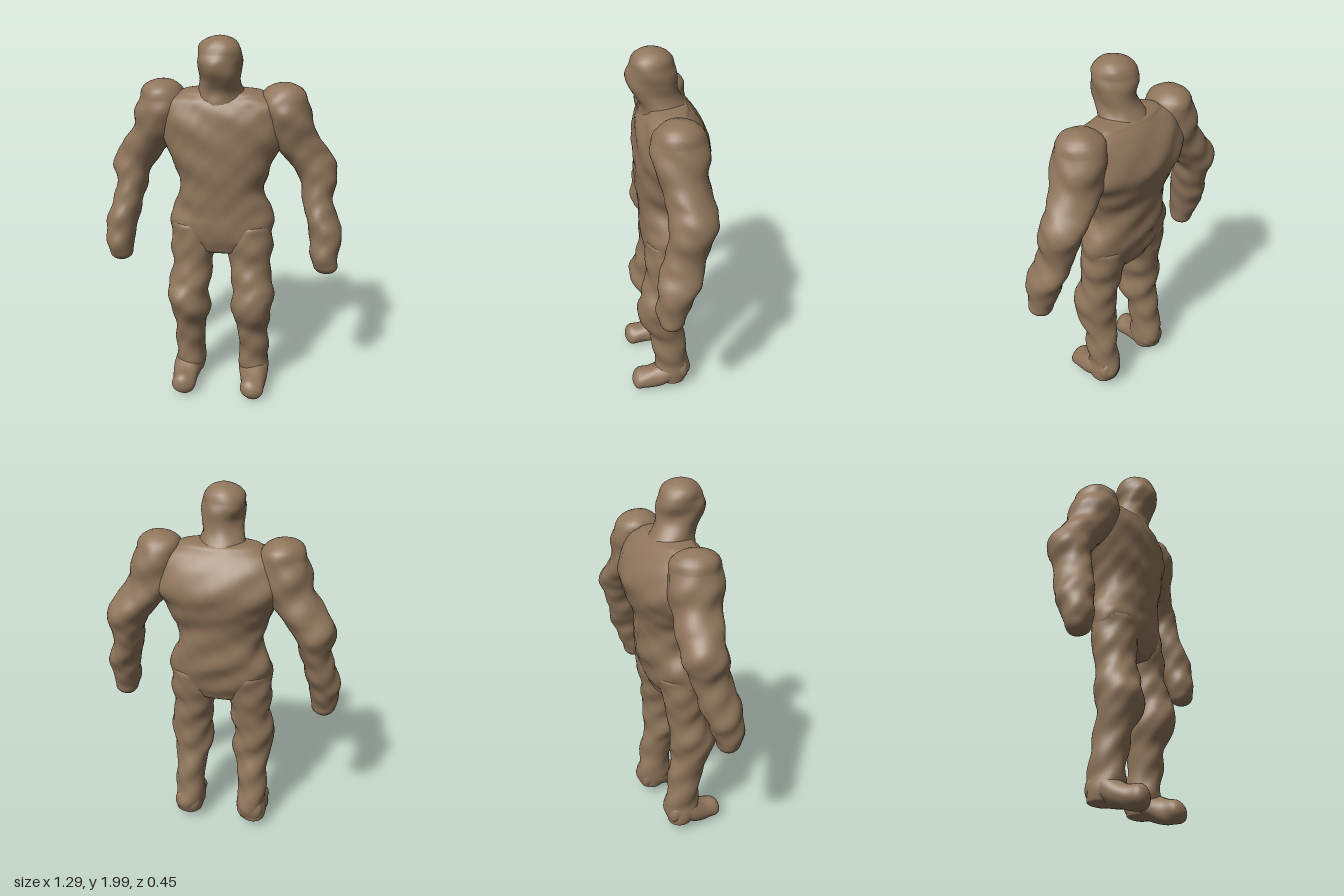
import * as THREE from 'three';

const skin = new THREE.MeshStandardMaterial({ color: 0x8f755b });
skin.name = 'clay brown';

// Shallow hand-modelled unevenness
const lump = (x, y, z) =>
  0.0035 * Math.sin(23 * x + 31 * y + 5 * z) +
  0.003 * Math.sin(37 * y - 29 * z + 17 * x + 1.3) +
  0.002 * Math.sin(51 * x - 43 * y + 39 * z);

// Loft of oval rings; each section is [height, centreX, halfWidth, zFront, zBack].
// The ends are closed with domes of height capLow and capHigh.
function loft(name, sections, { capLow = 0.03, capHigh = 0.03, power = 1, steps = 6, alongZ = false } = {}) {
  const sides = 40, domeSteps = 6;
  const curve = (f) => new THREE.CatmullRomCurve3(sections.map(f), false, 'catmullrom', 0.5);
  const centres = curve((s) => new THREE.Vector3(s[1], s[0], (s[3] + s[4]) / 2));
  const radii = curve((s) => new THREE.Vector3(s[2], 0, (s[3] - s[4]) / 2));
  const rings = [];
  const total = (sections.length - 1) * steps;
  for (let i = 0; i <= total; i++) {
    const c = centres.getPoint(i / total), r = radii.getPoint(i / total);
    rings.push([c.x, c.y, c.z, r.x, r.z]);
  }
  const dome = (ring, h) => Array.from({ length: domeSteps }, (_, i) => {
    const a = ((i + 1) / (domeSteps + 0.5)) * Math.PI / 2;
    return [ring[0], ring[1] + h * Math.sin(a), ring[2], ring[3] * Math.cos(a), ring[4] * Math.cos(a)];
  });
  const low = dome(rings[0], -capLow).reverse();
  const high = dome(rings[total], capHigh);
  const all = [...low, ...rings, ...high];

  const soften = (v) => Math.sign(v) * Math.pow(Math.abs(v), power);
  const pos = [], index = [];
  for (const [x, y, z, rx, rz] of all) {
    for (let j = 0; j < sides; j++) {
      const a = (j / sides) * Math.PI * 2;
      const dx = soften(Math.cos(a)), dz = soften(Math.sin(a));
      const px = x + rx * dx, pz = z + rz * dz;
      const k = lump(px, y, pz);
      pos.push(px + k * dx, y, pz + k * dz);
    }
  }
  for (let i = 0; i < all.length - 1; i++) {
    for (let j = 0; j < sides; j++) {
      const a = i * sides + j, b = i * sides + (j + 1) % sides;
      index.push(a, a + sides, b, b, a + sides, b + sides);
    }
  }
  // Pole points of the two domes
  const lowPole = all.length * sides, highPole = lowPole + 1, last = (all.length - 1) * sides;
  const s0 = rings[0], s1 = rings[total];
  pos.push(s0[0], s0[1] - capLow, s0[2], s1[0], s1[1] + capHigh, s1[2]);
  for (let j = 0; j < sides; j++) {
    const n = (j + 1) % sides;
    index.push(lowPole, j, n, highPole, last + n, last + j);
  }
  const g = new THREE.BufferGeometry();
  g.setAttribute('position', new THREE.Float32BufferAttribute(pos, 3));
  g.setIndex(index);
  if (alongZ) g.rotateX(Math.PI / 2);
  g.computeVertexNormals();
  const mesh = new THREE.Mesh(g, skin);
  mesh.name = name;
  return mesh;
}

export function createModel() {
  const model = new THREE.Group();
  model.name = 'clayFigure';

  // Torso from hips to shoulder line, with a rounded upper back
  model.add(loft('torso', [
    [0.88, 0, 0.19, 0.11, -0.09],
    [0.94, 0, 0.265, 0.13, -0.115],
    [1.02, 0, 0.28, 0.14, -0.135],
    [1.1, 0, 0.26, 0.14, -0.155],
    [1.2, 0, 0.222, 0.15, -0.16],
    [1.3, 0, 0.245, 0.16, -0.17],
    [1.4, 0, 0.29, 0.163, -0.2],
    [1.5, 0, 0.335, 0.163, -0.22],
    [1.6, 0, 0.34, 0.155, -0.19],
    [1.67, 0, 0.31, 0.13, -0.145],
    [1.71, 0, 0.22, 0.1, -0.11],
  ], { capLow: 0.04, capHigh: 0.025, power: 0.9 }));

  // Thick neck and smooth egg-shaped head, set forward
  model.add(loft('headAndNeck', [
    [1.6, 0, 0.19, 0.13, -0.18],
    [1.68, 0, 0.145, 0.13, -0.13],
    [1.73, 0, 0.115, 0.135, -0.095],
    [1.78, 0, 0.1, 0.16, -0.068],
    [1.83, 0, 0.105, 0.182, -0.052],
    [1.88, 0, 0.113, 0.188, -0.054],
    [1.92, 0, 0.107, 0.178, -0.046],
  ], { capHigh: 0.08 }));

  for (const [side, s] of [['left', 1], ['right', -1]]) {
    const mirror = (rows) => rows.map(([h, x, ...rest]) => [h, s * x, ...rest]);

    // Arm from the heavy shoulder through the elbow to the mitten hand
    model.add(loft(side + 'Arm', mirror([
      [0.82, 0.562, 0.066, 0.115, -0.01],
      [0.9, 0.557, 0.077, 0.13, -0.04],
      [1.0, 0.552, 0.086, 0.118, -0.085],
      [1.1, 0.52, 0.082, 0.1, -0.11],
      [1.2, 0.503, 0.083, 0.07, -0.14],
      [1.29, 0.493, 0.108, 0.058, -0.17],
      [1.36, 0.462, 0.126, 0.055, -0.172],
      [1.43, 0.405, 0.132, 0.07, -0.16],
      [1.52, 0.345, 0.133, 0.1, -0.155],
      [1.61, 0.325, 0.132, 0.118, -0.158],
      [1.68, 0.315, 0.118, 0.108, -0.145],
    ]), { capLow: 0.055, capHigh: 0.085 }));

    // Leg with a full thigh, forward knee and slim shin
    model.add(loft(side + 'Leg', mirror([
      [0.07, 0.187, 0.075, 0.07, -0.095],
      [0.13, 0.187, 0.086, 0.085, -0.112],
      [0.2, 0.182, 0.081, 0.09, -0.1],
      [0.3, 0.184, 0.084, 0.1, -0.09],
      [0.4, 0.177, 0.086, 0.12, -0.075],
      [0.5, 0.169, 0.111, 0.168, -0.06],
      [0.6, 0.183, 0.112, 0.183, -0.068],
      [0.7, 0.167, 0.112, 0.15, -0.072],
      [0.8, 0.158, 0.112, 0.13, -0.085],
      [0.9, 0.15, 0.128, 0.13, -0.105],
      [1.0, 0.15, 0.125, 0.125, -0.115],
    ]), { capLow: 0.025, capHigh: 0.05 }));

    // Foot lofted heel to toe; the last two numbers are minus sole and minus instep height
    model.add(loft(side + 'Foot', mirror([
      [-0.07, 0.187, 0.075, -0.06, -0.2],
      [0.0, 0.187, 0.083, -0.045, -0.21],
      [0.08, 0.192, 0.077, -0.025, -0.165],
      [0.13, 0.197, 0.07, -0.012, -0.14],
      [0.175, 0.198, 0.064, -0.01, -0.13],
    ]), { capLow: 0.035, capHigh: 0.05, alongZ: true }));
  }
  return model;
}
